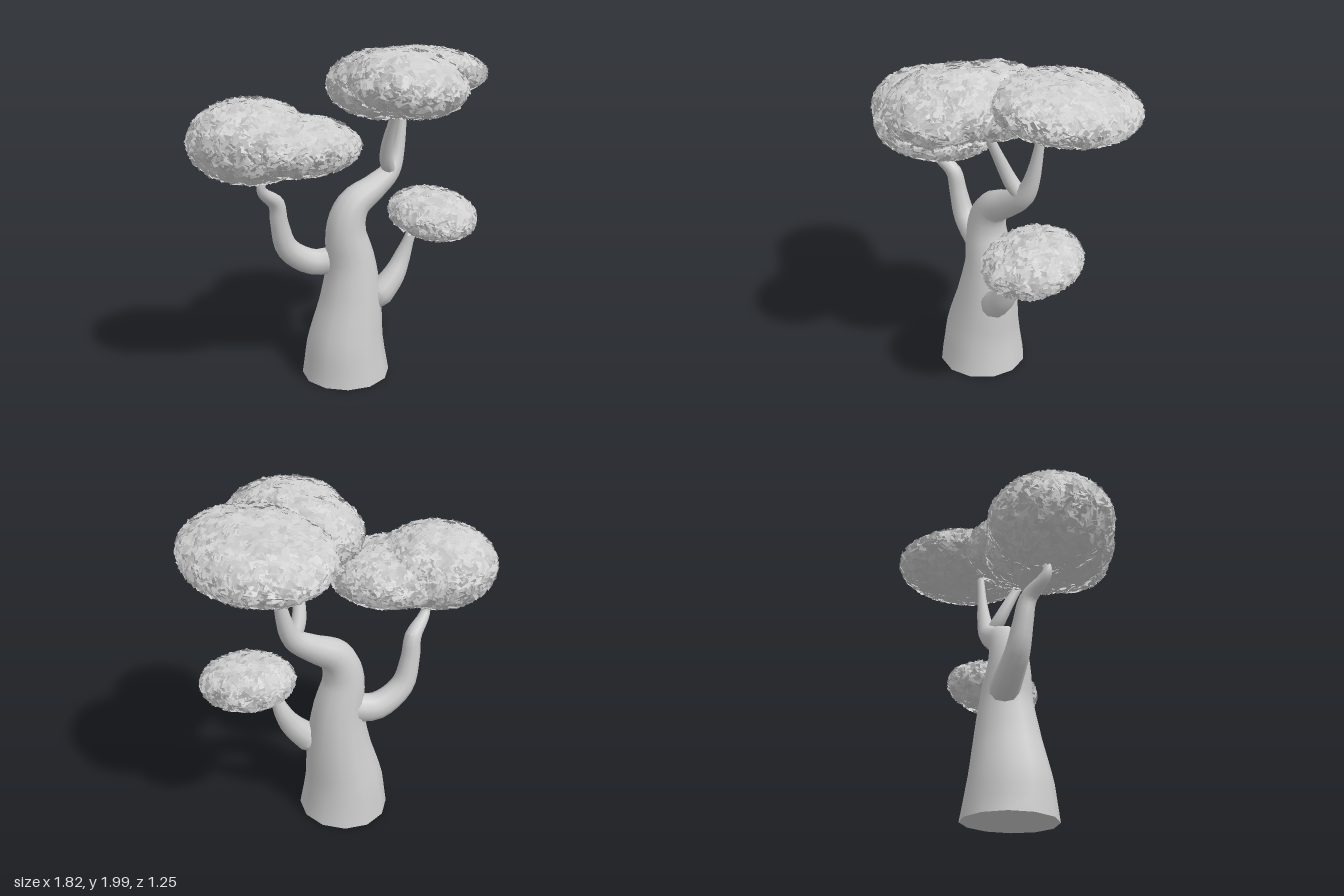
import * as THREE from 'three';
import { mergeGeometries, toCreasedNormals } from 'three/addons/utils/BufferGeometryUtils.js';

const bark = new THREE.MeshStandardMaterial({ color: 0xcccccc });
const foliage = new THREE.MeshStandardMaterial({ color: 0xcccccc, flatShading: true, side: THREE.DoubleSide });

function seeded(seed) {
  return () => {
    seed = (seed * 1664525 + 1013904223) >>> 0;
    return seed / 4294967296;
  };
}

// Tapered, closed tube through stations of [x, y, z, radius]
function limb(name, stations, sides) {
  const curve = new THREE.CatmullRomCurve3(
    stations.map(([x, y, z]) => new THREE.Vector3(x, y, z)), false, 'catmullrom', 0.5);
  curve.getPointAt = curve.getPoint;
  curve.getTangentAt = curve.getTangent;
  const spans = stations.length - 1;
  const rings = spans * 4;
  const geo = new THREE.TubeGeometry(curve, rings, 1, sides);
  const pos = geo.attributes.position;
  const v = new THREE.Vector3();
  for (let i = 0; i <= rings; i++) {
    const s = (i / rings) * spans;
    const k = Math.min(Math.floor(s), spans - 1);
    const r = THREE.MathUtils.lerp(stations[k][3], stations[k + 1][3], s - k);
    const centre = curve.getPoint(i / rings);
    // the end rings shrink to a point and their neighbours move out to form caps
    const home = i === 1 ? curve.getPoint(0) : i === rings - 1 ? curve.getPoint(1) : centre;
    const radius = i === 0 || i === rings ? 0 : i === 1 ? stations[0][3] : r;
    for (let j = 0; j <= sides; j++) {
      const n = i * (sides + 1) + j;
      v.fromBufferAttribute(pos, n).sub(centre).multiplyScalar(radius).add(home);
      pos.setXYZ(n, v.x, Math.max(0, v.y), v.z);
    }
  }
  const mesh = new THREE.Mesh(toCreasedNormals(geo, 0.7), bark);
  mesh.name = name;
  return mesh;
}

// Ellipsoid canopy shingled with small tilted leaf cards
function clump(name, centre, radii, tilt, seed) {
  const rand = seeded(seed);
  const [a, b, c] = radii;
  const core = new THREE.IcosahedronGeometry(0.94, 8).scale(a, b, c);
  const parts = [core];
  const area = 4 * Math.PI * Math.pow(
    (Math.pow(a * b, 1.6) + Math.pow(a * c, 1.6) + Math.pow(b * c, 1.6)) / 3, 1 / 1.6);
  const count = Math.round(area * 2000);
  const dir = new THREE.Vector3(), normal = new THREE.Vector3();
  const forward = new THREE.Vector3(0, 0, 1);
  const turn = new THREE.Quaternion(), lean = new THREE.Quaternion();
  for (let i = 0; i < count; i++) {
    const y = 1 - (2 * (i + 0.5)) / count;
    const ring = Math.sqrt(1 - y * y), angle = i * 2.39996;
    dir.set(ring * Math.cos(angle), y, ring * Math.sin(angle));
    normal.set(dir.x / a, dir.y / b, dir.z / c).normalize();
    turn.setFromUnitVectors(forward, normal);
    lean.setFromEuler(new THREE.Euler((rand() - 0.5) * 0.9, (rand() - 0.5) * 0.9, rand() * 6.28));
    const size = 0.036 + rand() * 0.016;
    const card = new THREE.PlaneGeometry(size, size);
    card.applyQuaternion(turn.multiply(lean));
    const depth = 0.965 + rand() * 0.02;
    card.translate(dir.x * a * depth, dir.y * b * depth, dir.z * c * depth);
    parts.push(card.toNonIndexed());
  }
  const mesh = new THREE.Mesh(mergeGeometries(parts), foliage);
  mesh.name = name;
  mesh.position.set(...centre);
  mesh.rotation.set(...tilt);
  return mesh;
}

export function createModel() {
  const tree = new THREE.Group();
  tree.name = 'tree';

  // Trunk and branches
  tree.add(
    limb('trunk', [
      [0, 0, -0.12, 0.265], [0, 0.2, -0.12, 0.235], [0.035, 0.45, -0.12, 0.19],
      [0.045, 0.68, -0.125, 0.152], [0.012, 0.9, -0.13, 0.12], [0.06, 1.05, -0.125, 0.1],
      [0.2, 1.14, -0.115, 0.078], [0.32, 1.23, -0.11, 0.06], [0.38, 1.38, -0.115, 0.04],
      [0.43, 1.68, -0.12, 0.015],
    ], 12),
    limb('forkBranch', [
      [0.32, 1.21, -0.105, 0.04], [0.26, 1.3, -0.07, 0.042],
      [0.23, 1.42, -0.02, 0.034], [0.215, 1.62, 0.08, 0.022],
    ], 10),
    limb('rightBranch', [
      [0, 0.72, -0.17, 0.085], [-0.16, 0.71, -0.23, 0.08], [-0.31, 0.81, -0.255, 0.068],
      [-0.365, 0.97, -0.25, 0.055], [-0.39, 1.1, -0.235, 0.048], [-0.48, 1.175, -0.2, 0.034],
      [-0.51, 1.23, -0.185, 0.025], [-0.48, 1.34, -0.18, 0.014],
    ], 10),
    limb('leftBranch', [
      [0.12, 0.43, -0.06, 0.05], [0.19, 0.5, -0.03, 0.085], [0.28, 0.6, -0.015, 0.07],
      [0.345, 0.72, -0.01, 0.05], [0.4, 0.9, 0.02, 0.02],
    ], 10),
  );

  // Foliage clumps
  tree.add(
    clump('topFrontFoliage', [0.14, 1.8, 0.27], [0.31, 0.17, 0.35], [0.14, 0, 0], 11),
    clump('topMiddleFoliage', [0.17, 1.765, 0.01], [0.31, 0.19, 0.33], [0, 0, 0], 23),
    clump('topLeftFoliage', [0.54, 1.79, -0.16], [0.36, 0.15, 0.46], [-0.1, 0.1, -0.12], 37),
    clump('rightRearFoliage', [-0.56, 1.49, -0.19], [0.345, 0.23, 0.34], [0, 0, 0], 41),
    clump('rightFrontFoliage', [-0.36, 1.46, -0.08], [0.38, 0.165, 0.35], [0, 0, -0.03], 59),
    clump('lowerLeftFoliage', [0.53, 0.965, 0.035], [0.255, 0.135, 0.285], [0.15, 0, 0], 67),
  );
  return tree;
}
